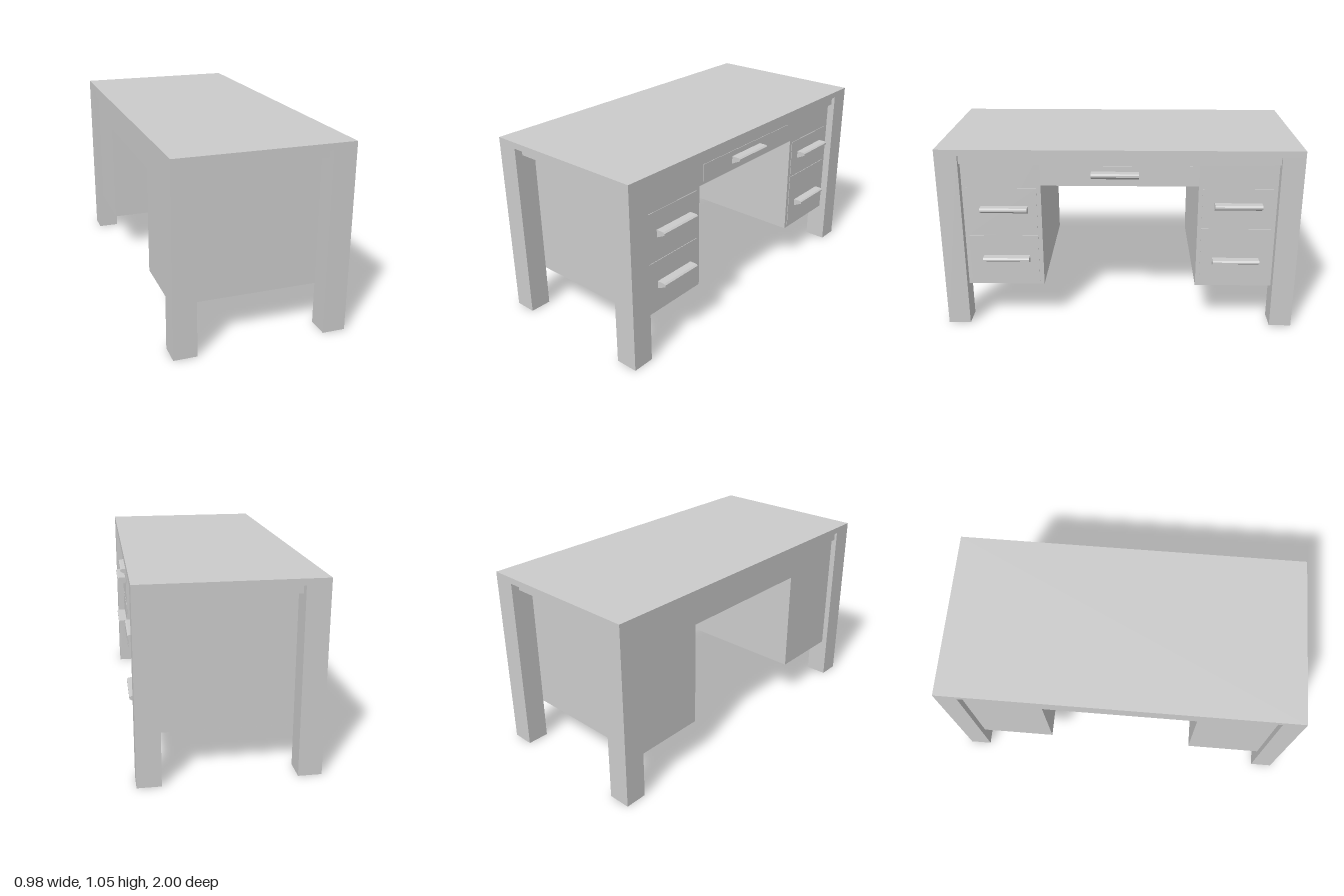
import * as THREE from 'three';

const material = new THREE.MeshStandardMaterial({ color: 0xcccccc, flatShading: true });

export function createModel() {
  const desk = new THREE.Group();
  desk.name = 'desk';

  // Box given by its extents on each axis
  function block(name, [x0, x1], [y0, y1], [z0, z1]) {
    const mesh = new THREE.Mesh(new THREE.BoxGeometry(x1 - x0, y1 - y0, z1 - z0), material);
    mesh.position.set((x0 + x1) / 2, (y0 + y1) / 2, (z0 + z1) / 2);
    mesh.name = name;
    desk.add(mesh);
  }

  const back = -0.458, face = 0.432;

  // Table top
  block('tableTop', [-0.49, 0.475], [1.02, 1.055], [-1, 1]);

  // Four square legs
  for (const z of [[0.875, 1], [-1, -0.875]]) {
    block('backLeg', [-0.49, -0.363], [0, 1.02], z);
    block('frontLeg', [0.347, 0.475], [0, 1.02], z);
  }

  // Rails between the legs, proud of the cabinets
  block('endRailLeft', [-0.363, 0.347], [0.97, 1.02], [0.87, 0.955]);
  block('endRailRight', [-0.363, 0.347], [0.97, 1.02], [-0.955, -0.87]);
  block('frontRail', [face - 0.02, 0.455], [0.97, 1.02], [-0.875, 0.875]);
  block('backRail', [-0.475, back + 0.02], [0.97, 1.02], [-0.875, 0.875]);

  // Drawer cabinets either side of the open knee space
  block('leftCabinet', [back, face], [0.237, 1.02], [0.435, 0.873]);
  block('rightCabinet', [back, face], [0.237, 1.02], [-0.873, -0.437]);
  block('centreCompartment', [back, face], [0.84, 1.02], [-0.437, 0.435]);

  // Wedge-shaped pull: flat top, short lip, underside sloping back
  const profile = new THREE.Shape([
    new THREE.Vector2(0, 0), new THREE.Vector2(0.055, 0.028),
    new THREE.Vector2(0.055, 0.038), new THREE.Vector2(0.046, 0.045),
    new THREE.Vector2(0, 0.045),
  ]);
  const handleGeometry = new THREE.ExtrudeGeometry(profile, { depth: 0.262, bevelEnabled: false });

  // Drawer fronts: y extent, z extent, handle base y, handle start z
  const drawers = [
    ['centreDrawer', [0.855, 0.955], [-0.4, 0.4], 0.879, -0.107],
    ['leftUpperDrawer', [0.55, 0.825], [0.46, 0.85], 0.675, 0.511],
    ['leftLowerDrawer', [0.255, 0.54], [0.46, 0.85], 0.374, 0.511],
    ['rightUpperDrawer', [0.6, 0.825], [-0.85, -0.46], 0.7, -0.79],
    ['rightLowerDrawer', [0.255, 0.59], [-0.85, -0.46], 0.368, -0.79],
  ];
  for (const [name, y, z, handleY, handleZ] of drawers) {
    block(name, [face - 0.01, face + 0.003], y, z);
    const handle = new THREE.Mesh(handleGeometry, material);
    handle.name = name + 'Handle';
    handle.position.set(face, handleY, handleZ);
    desk.add(handle);
  }

  return desk;
}
